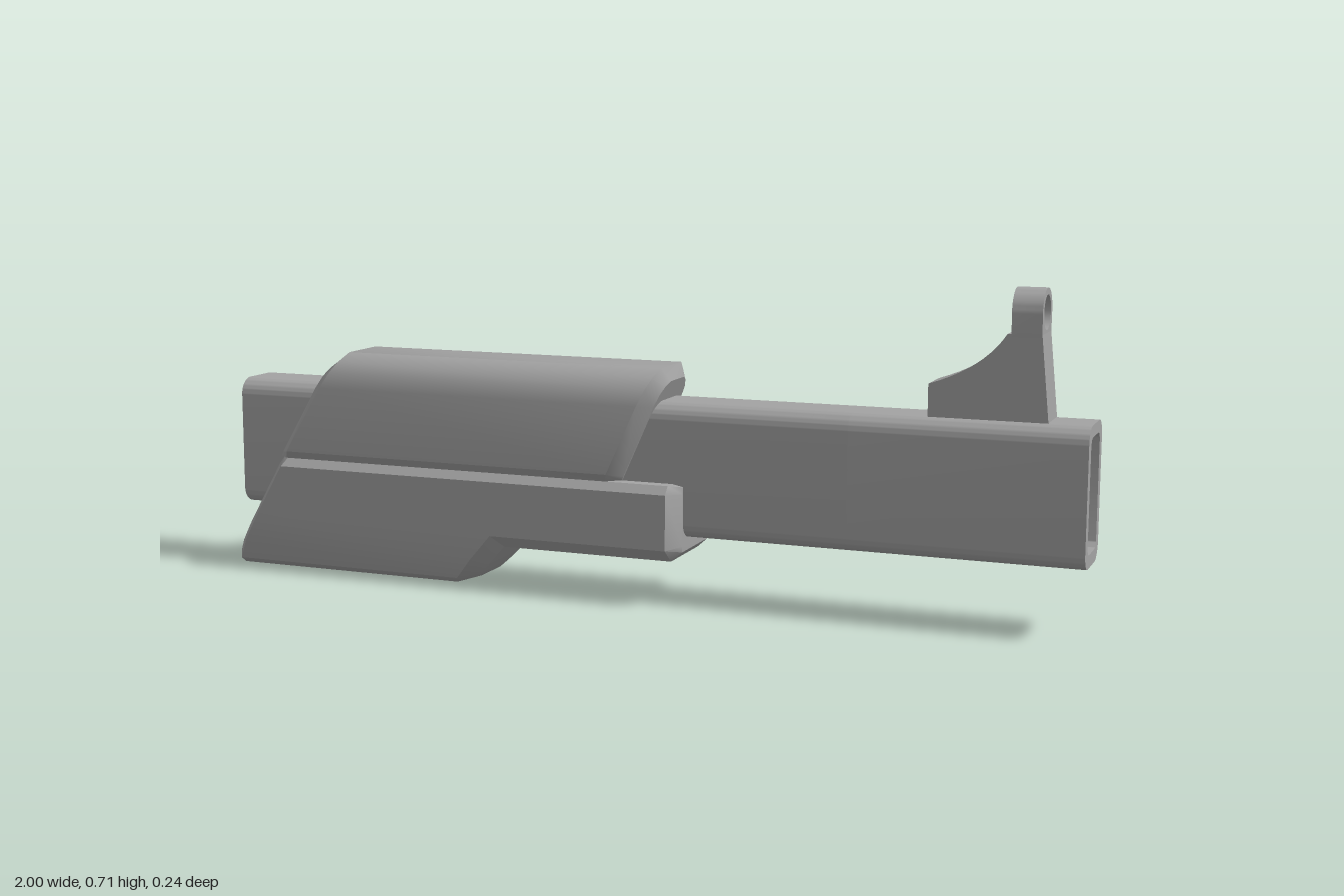
import * as THREE from 'three';
import { toCreasedNormals } from 'three/addons/utils/BufferGeometryUtils.js';

const CREASE = 0.6;

// Solid through rings along x; each ring has half a section [z, y] (top to bottom) and a rule x(y)
function loft(rings) {
  const pos = [], idx = [];
  const n = rings[0].half.length, m = 2 * n;
  for (const { half, x } of rings) {
    for (const [z, y] of half) pos.push(x(y), y, z);
    for (const [z, y] of [...half].reverse()) pos.push(x(y), y, -z);
  }
  const quad = (a, b, c, d) => idx.push(a, b, c, a, c, d);
  for (let r = 0; r < rings.length - 1; r++) {
    for (let i = 0; i < m; i++) {
      const j = (i + 1) % m, a = r * m, b = a + m;
      quad(a + i, a + j, b + j, b + i);
    }
  }
  const end = (rings.length - 1) * m;
  for (let i = 0; i < n - 1; i++) {
    const l = i, l2 = i + 1, r2 = m - 2 - i, r = m - 1 - i;
    quad(l, r, r2, l2);
    quad(end + l, end + l2, end + r2, end + r);
  }
  const g = new THREE.BufferGeometry();
  g.setAttribute('position', new THREE.Float32BufferAttribute(pos, 3));
  g.setIndex(idx);
  return toCreasedNormals(g, CREASE);
}

// Extrude a (z, y) shape along x
function extrudeX(shape, x0, x1) {
  const g = new THREE.ExtrudeGeometry(shape, { depth: x1 - x0, bevelEnabled: false, curveSegments: 10 });
  g.rotateY(Math.PI / 2).translate(x0, 0, 0);
  return toCreasedNormals(g, CREASE);
}

function roundedRect(target, w, y0, y1, r) {
  target.moveTo(-w + r, y0);
  target.lineTo(w - r, y0);
  target.absarc(w - r, y0 + r, r, -Math.PI / 2, 0);
  target.absarc(w - r, y1 - r, r, 0, Math.PI / 2);
  target.absarc(-w + r, y1 - r, r, Math.PI / 2, Math.PI);
  target.absarc(-w + r, y0 + r, r, Math.PI, Math.PI * 1.5);
  return target;
}

export function createModel() {
  const model = new THREE.Group();
  const grey = new THREE.MeshStandardMaterial({ color: 0xa3a3a3 });
  grey.name = 'grey';
  const add = (name, geometry) => {
    const mesh = new THREE.Mesh(geometry, grey);
    mesh.name = name;
    model.add(mesh);
    return mesh;
  };

  // Barrel: solid rear, hollow front
  const outline = () => roundedRect(new THREE.Shape(), 0.077, 0.15, 0.445, 0.037);
  add('barrelRear', extrudeX(outline(), -0.97, 0.5));
  const muzzle = outline();
  muzzle.holes.push(roundedRect(new THREE.Path(), 0.051, 0.178, 0.42, 0.02));
  add('barrelMuzzle', extrudeX(muzzle, 0.5, 0.995));

  // Upper guard with slanted, bevelled ends
  const upper = [[0.06, 0.518], [0.092, 0.5], [0.112, 0.475], [0.12, 0.44], [0.12, 0.288], [0.104, 0.27]];
  const upperEnd = [[0.04, 0.488], [0.06, 0.479], [0.076, 0.462], [0.083, 0.435], [0.083, 0.28], [0.08, 0.271]];
  add('upperGuard', loft([
    { half: upperEnd, x: y => -0.857 + 0.59 * (y - 0.283) },
    { half: upper, x: y => -0.83 + 0.6 * (y - 0.283) },
    { half: upper, x: y => -0.03 + 0.46 * (y - 0.283) },
    { half: upperEnd, x: y => 0.0 + 0.45 * (y - 0.283) },
  ]));

  // Lower guard: deep rear part with a slanted step
  const lower = [[0.104, 0.27], [0.12, 0.252], [0.12, 0.13], [0.115, 0.07], [0.092, 0.02], [0.06, 0.003]];
  const lowerEnd = [[0.075, 0.27], [0.083, 0.252], [0.083, 0.1], [0.077, 0.06], [0.065, 0.035], [0.048, 0.02]];
  add('lowerGuard', loft([
    { half: lowerEnd, x: y => -1.0 + 0.567 * (y - 0.02) },
    { half: lower, x: y => -0.985 + 0.567 * (y - 0.003) },
    { half: lower, x: y => -0.42 + 0.88 * (Math.min(y, 0.13) - 0.003) },
    { half: lowerEnd, x: y => -0.365 + 0.94 * (Math.min(y, 0.1) - 0.02) },
  ]));

  // Shallow front part of the lower guard
  const fore = [[0.104, 0.27], [0.12, 0.252], [0.12, 0.13], [0.083, 0.1]];
  const foreEnd = [[0.08, 0.265], [0.083, 0.25], [0.083, 0.135], [0.08, 0.122]];
  add('lowerGuardFront', loft([
    { half: fore, x: () => -0.315 },
    { half: fore, x: () => 0.11 },
    { half: foreEnd, x: () => 0.135 },
  ]));

  // Front sight base with a swept back
  const base = new THREE.Shape();
  base.moveTo(0.66, 0.44);
  base.lineTo(0.908, 0.44);
  base.lineTo(0.89, 0.622);
  base.lineTo(0.82, 0.622);
  base.quadraticCurveTo(0.775, 0.55, 0.66, 0.513);
  const baseGeo = new THREE.ExtrudeGeometry(base, { depth: 0.094, bevelEnabled: false, curveSegments: 10 });
  baseGeo.translate(0, 0, -0.047);
  add('sightBase', toCreasedNormals(baseGeo, CREASE));

  // Sight ring
  const cy = 0.664;
  const ring = new THREE.Shape();
  ring.moveTo(-0.047, 0.615);
  ring.lineTo(0.047, 0.615);
  ring.lineTo(0.05, cy);
  ring.absarc(0, cy, 0.05, 0, Math.PI);
  ring.holes.push(new THREE.Path().absarc(0, cy, 0.036, 0, Math.PI * 2));
  add('sightRing', extrudeX(ring, 0.828, 0.89));

  // Crosshair: centre bead and four short bars
  const bead = new THREE.CylinderGeometry(0.008, 0.008, 0.03, 16);
  bead.rotateZ(Math.PI / 2).translate(0.859, cy, 0);
  add('sightBead', bead);
  for (let i = 0; i < 4; i++) {
    const bar = new THREE.BoxGeometry(0.03, 0.023, 0.005);
    bar.translate(0, 0.0265, 0).rotateX(i * Math.PI / 2).translate(0.859, cy, 0);
    add('sightBar', bar);
  }
  return model;
}
